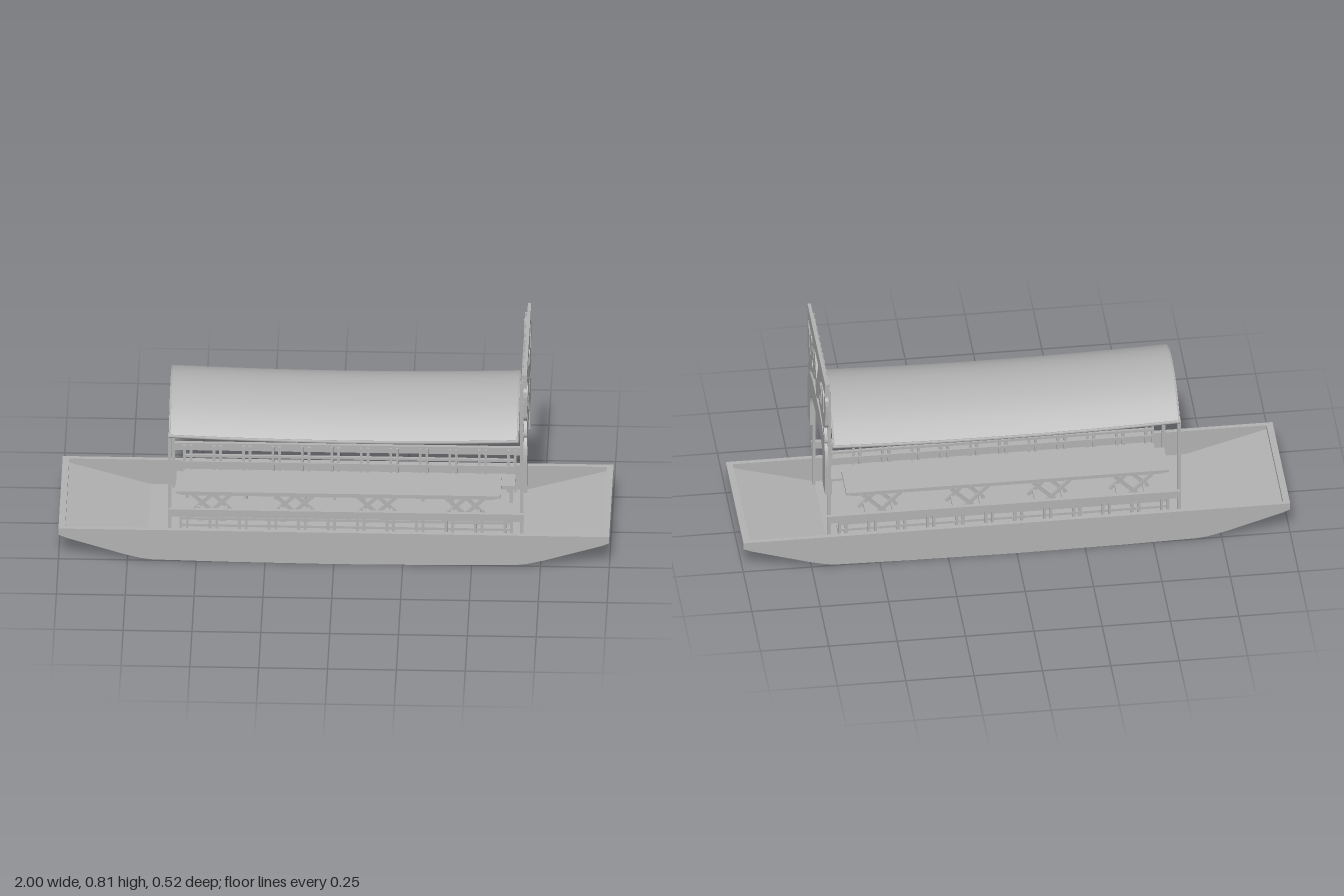
import * as THREE from 'three';

export function createModel() {
  const model = new THREE.Group();
  const grey = new THREE.MeshStandardMaterial({ color: 0xb2b2b2, side: THREE.DoubleSide });
  grey.name = 'light grey';

  const add = (name, geometry, parent = model) => {
    const mesh = new THREE.Mesh(geometry, grey);
    mesh.name = name;
    parent.add(mesh);
    return mesh;
  };
  const group = (name) => {
    const g = new THREE.Group();
    g.name = name;
    model.add(g);
    return g;
  };
  // Box given by its lower and upper limits
  const box = (name, x0, x1, y0, y1, z0, z1, parent) => {
    const m = add(name, new THREE.BoxGeometry(x1 - x0, y1 - y0, Math.abs(z1 - z0)), parent);
    m.position.set((x0 + x1) / 2, (y0 + y1) / 2, (z0 + z1) / 2);
    return m;
  };
  // Square bar between two points
  const bar = (name, a, b, t, parent) => {
    const p = new THREE.Vector3(...a), q = new THREE.Vector3(...b);
    const m = add(name, new THREE.BoxGeometry(t, t, p.distanceTo(q)), parent);
    m.position.copy(p).add(q).multiplyScalar(0.5);
    m.lookAt(q);
    return m;
  };
  const shapeOf = (pts) => new THREE.Shape(pts.map(([x, y]) => new THREE.Vector2(x, y)));
  const extrude = (shape, depth) =>
    new THREE.ExtrudeGeometry(shape, { depth, bevelEnabled: false, curveSegments: 16 });

  // Hull: bottom shell with ramped ends, closed by two side walls
  const hull = group('hull');
  const right = [[0, 0], [0.4, 0.003], [0.66, 0.008], [0.7, 0.013], [0.76, 0.028], [0.97, 0.093], [1, 0.106], [1, 0.132]];
  const flip = (pts) => pts.map(([x, y]) => [-x, y]).reverse();
  const keel = [...flip(right.slice(1)), ...right];
  const inner = [[0.976, 0.132], [0.976, 0.115], [0.68, 0.03]];
  const floor = add('hullBottom', extrude(shapeOf([...keel, ...inner, ...flip(inner)]), 0.48), hull);
  floor.position.z = -0.24;
  for (const s of [-1, 1]) {
    const wall = add('sideWall', extrude(shapeOf(keel), 0.017), hull);
    wall.position.z = s > 0 ? 0.24 : -0.257;
  }

  // Canopy: arched sheet that sags a little along its length
  const canopy = group('canopy');
  const sag = (x) => 0.013 * (((x - 0.035) / 0.635) ** 2 - 1);
  const arch = (x, t, grow = 0) => new THREE.Vector3(
    x,
    0.518 + sag(x) + (0.112 + grow) * (1 - Math.abs(Math.cos(t)) ** 2.15),
    (0.24 + grow) * Math.cos(t));
  const NX = 20, NT = 28;
  const sheet = new THREE.PlaneGeometry(1, 1, NX, NT);
  const pos = sheet.attributes.position;
  for (let j = 0, k = 0; j <= NT; j++)
    for (let i = 0; i <= NX; i++, k++) {
      const p = arch(-0.6 + 1.27 * i / NX, Math.PI * (1 - j / NT));
      pos.setXYZ(k, p.x, p.y, p.z);
    }
  sheet.computeVertexNormals();
  add('canopySheet', sheet, canopy);
  const tube = (name, pts, r, parent) =>
    add(name, new THREE.TubeGeometry(new THREE.CatmullRomCurve3(pts), 32, r, 6), parent);
  const steps = [...Array(17).keys()].map((i) => i / 16);
  for (const x of [-0.596, 0.666])
    tube('canopyHoop', steps.map((u) => arch(x, Math.PI * u, -0.003)), 0.004, canopy);
  for (const t of [0, Math.PI])
    tube('eavePole', steps.map((u) => arch(-0.6 + 1.27 * u, t, -0.003)), 0.006, canopy);

  // Corner posts; the forward pair also carries the gate
  const posts = group('posts');
  for (const s of [-1, 1]) {
    box('rearPost', -0.603, -0.591, 0.03, 0.52, s * 0.216, s * 0.23, posts);
    box('frontPost', 0.676, 0.688, 0.03, 0.76, s * 0.216, s * 0.23, posts);
  }

  // Benches with slatted backs along both sides
  for (const s of [-1, 1]) {
    const bench = group(s > 0 ? 'leftBench' : 'rightBench');
    box('topRail', -0.6, 0.69, 0.182, 0.212, s * 0.229, s * 0.243, bench);
    box('middleRail', -0.56, 0.645, 0.16, 0.17, s * 0.216, s * 0.226, bench);
    box('lowerRail', -0.56, 0.645, 0.132, 0.142, s * 0.216, s * 0.226, bench);
    box('seat', -0.56, 0.645, 0.095, 0.105, s * 0.14, s * 0.226, bench);
    for (let i = 0; i < 12; i++) {
      const x = -0.545 + i * 0.107;
      for (const dx of [-0.012, 0.012]) {
        box('backSlat', x + dx - 0.005, x + dx + 0.005, 0.03, 0.205, s * 0.22, s * 0.23, bench);
      }
      box('seatLeg', x - 0.006, x + 0.006, 0.03, 0.096, s * 0.145, s * 0.157, bench);
      box('seatStretcher', x - 0.005, x + 0.005, 0.06, 0.07, s * 0.15, s * 0.222, bench);
    }
  }

  // Long table on crossed trestle legs
  const table = group('table');
  box('tableTop', -0.58, 0.6, 0.177, 0.187, -0.07, 0.073, table);
  box('tableApron', -0.56, 0.58, 0.167, 0.177, -0.062, 0.065, table);
  for (const x of [-0.45, -0.15, 0.15, 0.47])
    for (const s of [-1, 1]) {
      bar('tableLeg', [x - 0.07, 0.03, s * 0.06], [x + 0.07, 0.17, s * 0.06], 0.011, table);
      bar('tableLeg', [x + 0.07, 0.03, s * 0.06], [x - 0.07, 0.17, s * 0.06], 0.011, table);
      bar('legStretcher', [x + s * 0.05, 0.05, -0.06], [x + s * 0.05, 0.05, 0.06], 0.008, table);
    }

  // Carved gate: flat panels facing the bow, drawn across z and y
  const gate = group('gate');
  const panel = (name, shape) => {
    const m = add(name, extrude(shape, 0.012), gate);
    m.rotation.y = Math.PI / 2;
    m.position.x = 0.689;
  };
  const gateArch = new THREE.Shape();
  gateArch.moveTo(-0.257, 0.32);
  gateArch.lineTo(-0.257, 0.44);
  gateArch.bezierCurveTo(-0.255, 0.53, -0.22, 0.555, -0.1, 0.572);
  gateArch.lineTo(0.1, 0.572);
  gateArch.bezierCurveTo(0.22, 0.555, 0.255, 0.53, 0.257, 0.44);
  gateArch.lineTo(0.257, 0.32);
  gateArch.lineTo(0.186, 0.32);
  gateArch.lineTo(0.186, 0.41);
  gateArch.bezierCurveTo(0.183, 0.465, 0.15, 0.488, 0.09, 0.49);
  gateArch.lineTo(-0.09, 0.49);
  gateArch.bezierCurveTo(-0.15, 0.488, -0.183, 0.465, -0.186, 0.41);
  gateArch.lineTo(-0.186, 0.32);
  panel('gateArch', gateArch);
  panel('chevron', shapeOf([[-0.1, 0.755], [0, 0.572], [0.1, 0.755], [0.056, 0.755], [0, 0.65], [-0.056, 0.755]]));
  panel('topBoard', shapeOf([[-0.257, 0.754], [0.257, 0.754], [0.257, 0.81], [-0.257, 0.81]]));

  // Scroll carvings, mirrored about the middle
  const scroll = [
    [0.257, 0.737], [0.242, 0.747], [0.225, 0.737], [0.218, 0.705], [0.22, 0.672], [0.21, 0.651],
    [0.198, 0.655], [0.197, 0.683], [0.193, 0.715], [0.173, 0.734], [0.152, 0.736], [0.152, 0.715],
    [0.165, 0.683], [0.169, 0.658], [0.158, 0.65], [0.15, 0.68], [0.124, 0.702], [0.094, 0.704],
    [0.066, 0.687], [0.051, 0.657], [0.056, 0.625], [0.077, 0.606], [0.109, 0.602], [0.137, 0.593],
    [0.173, 0.582], [0.197, 0.565], [0.21, 0.54], [0.231, 0.533], [0.24, 0.544], [0.231, 0.572],
    [0.212, 0.594], [0.236, 0.606], [0.254, 0.625], [0.257, 0.65]];
  for (const s of [-1, 1]) {
    const curve = new THREE.CatmullRomCurve3(
      scroll.map(([z, y]) => new THREE.Vector3(s * z, y, 0)), true);
    const shape = new THREE.Shape(curve.getPoints(120).slice(0, -1).map((p) => new THREE.Vector2(p.x, p.y)));
    const eye = new THREE.Path();
    eye.absellipse(s * 0.112, 0.649, 0.015, 0.02, 0, Math.PI * 2);
    shape.holes.push(eye);
    panel('scrollCarving', shape);
  }

  // Lattice of thin bars behind the gate
  for (const z of [-0.222, -0.142, -0.078, -0.03, 0.03, 0.078, 0.142, 0.222, 0])
    box('latticeUpright', 0.68, 0.688, 0.55, 0.79, z - 0.004, z + 0.004, gate);
  for (const y of [0.57, 0.68, 0.77])
    box('latticeRail', 0.68, 0.688, y - 0.004, y + 0.004, -0.235, 0.235, gate);

  return model;
}
